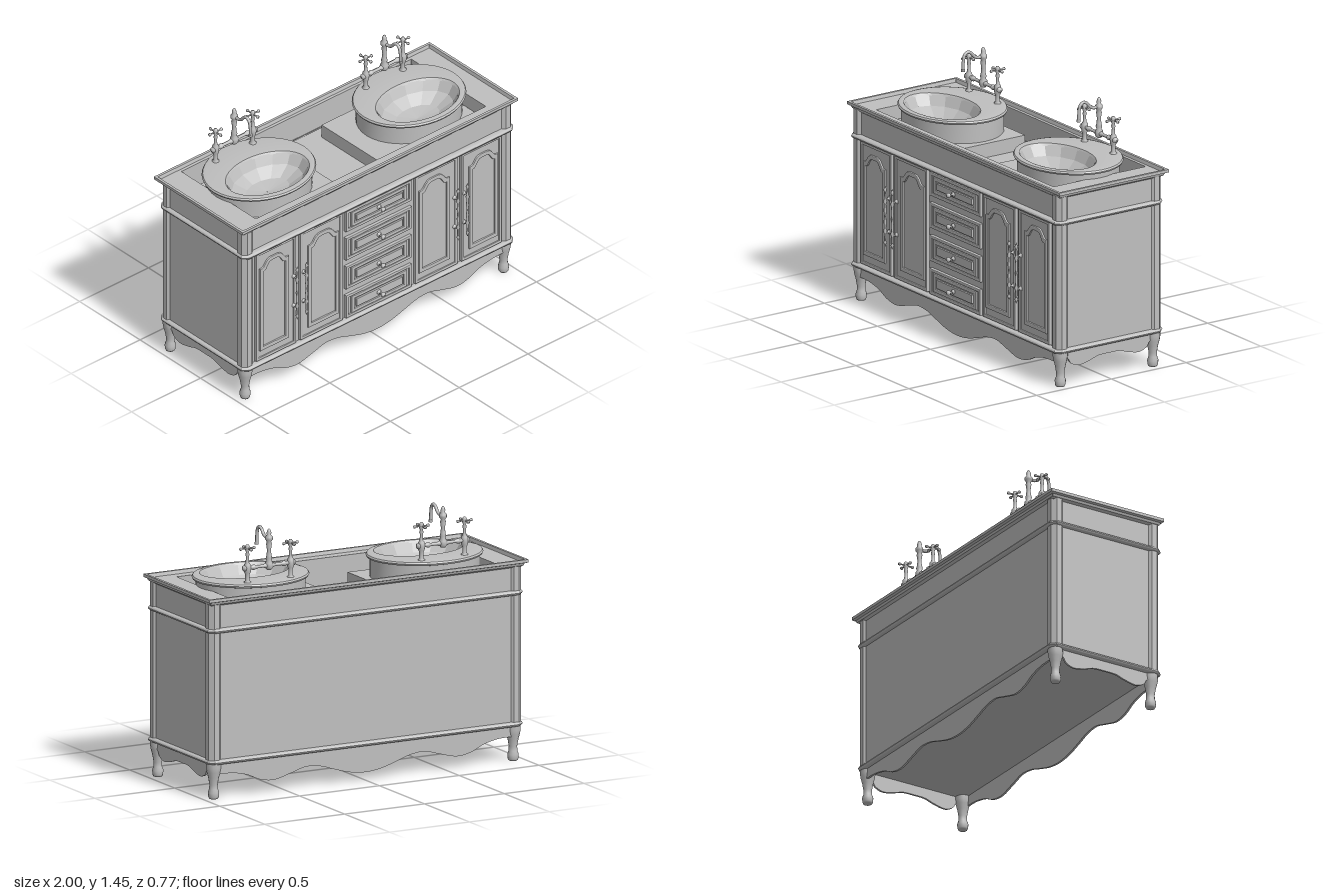
import * as THREE from 'three';
import { toCreasedNormals } from 'three/addons/utils/BufferGeometryUtils.js';

const grey = new THREE.MeshStandardMaterial({ color: 0xbfbfbf });
grey.name = 'plain grey';

function add(parent, name, geo, x = 0, y = 0, z = 0) {
  const mesh = new THREE.Mesh(geo, grey);
  mesh.name = name;
  mesh.position.set(x, y, z);
  parent.add(mesh);
  return mesh;
}

function box(parent, name, x0, x1, y0, y1, z0, z1) {
  return add(parent, name, new THREE.BoxGeometry(x1 - x0, y1 - y0, z1 - z0), (x0 + x1) / 2, (y0 + y1) / 2, (z0 + z1) / 2);
}

// Skin over closed rings of equal point count, running from outside bottom upward
function loft(rings, crease = 0.5) {
  const n = rings[0].length, pos = [], idx = [];
  rings.forEach(r => r.forEach(p => pos.push(...p)));
  for (let i = 0; i < rings.length - 1; i++) {
    for (let j = 0; j < n; j++) {
      const k = (j + 1) % n, a = i * n + j, b = i * n + k;
      idx.push(a, a + n, b, b, a + n, b + n);
    }
  }
  const g = new THREE.BufferGeometry();
  g.setAttribute('position', new THREE.Float32BufferAttribute(pos, 3));
  g.setIndex(idx);
  return toCreasedNormals(g, crease);
}

// Rectangle outline with cut corners, seen from above
function outline(hx, z0, z1, c, y) {
  return [[hx, z1 - c], [hx - c, z1], [-hx + c, z1], [-hx, z1 - c],
    [-hx, z0 + c], [-hx + c, z0], [hx - c, z0], [hx, z0 + c]].map(([x, z]) => [x, y, z]);
}

const oval = (cx, cz, rx, rz, y, n) => Array.from({ length: n }, (_, i) => {
  const a = i / n * Math.PI * 2;
  return [cx + rx * Math.cos(a), y, cz + rz * Math.sin(a)];
});

const lathe = (pts, n = 16) => new THREE.LatheGeometry(pts.map(p => new THREE.Vector2(...p)), n);

// Panel outline, with a raised arch on top when rise > 0
function panelPath(path, x0, x1, y0, y1, rise) {
  const s = y1 - rise, w = x1 - x0, m = (x0 + x1) / 2;
  path.moveTo(x0, y0).lineTo(x1, y0).lineTo(x1, s);
  if (rise) {
    path.lineTo(x1 - w * 0.06, s);
    path.bezierCurveTo(x1 - w * 0.16, s, x1 - w * 0.2, y1, m + w * 0.12, y1);
    path.lineTo(m - w * 0.12, y1);
    path.bezierCurveTo(x0 + w * 0.2, y1, x0 + w * 0.16, s, x0 + w * 0.06, s);
  }
  path.lineTo(x0, s).closePath();
  return path;
}

// Bevelled moulding around a panel
function moulding(x0, x1, y0, y1, rise, t, depth) {
  const shape = panelPath(new THREE.Shape(), x0, x1, y0, y1, rise);
  shape.holes.push(panelPath(new THREE.Path(), x0 + t, x1 - t, y0 + t, y1 - t, rise));
  return new THREE.ExtrudeGeometry(shape, { depth, bevelEnabled: true, bevelThickness: 0.005, bevelSize: 0.004, bevelSegments: 2, curveSegments: 6 });
}

// Scalloped skirt hanging from y = 0.2; points run along the lower edge
function apron(pts) {
  const s = new THREE.Shape();
  s.moveTo(pts[0][0], 0.205).lineTo(...pts[0]);
  s.splineThru(pts.slice(1).map(p => new THREE.Vector2(...p)));
  s.lineTo(pts[pts.length - 1][0], 0.205).closePath();
  return new THREE.ExtrudeGeometry(s, { depth: 0.012, bevelEnabled: false, curveSegments: 48 });
}

function knob(parent, x, y) {
  const k = add(parent, 'knob', lathe([[0.014, 0], [0.014, 0.004], [0.005, 0.008], [0.005, 0.022], [0.013, 0.03], [0.015, 0.037], [0.01, 0.045], [0, 0.047]]), x, y, 0.342);
  k.rotation.x = Math.PI / 2;
}

function doorHandle(parent, x) {
  const half = [[0.005, 0], [0.008, 0.03], [0.006, 0.07], [0.011, 0.085], [0.006, 0.1], [0.005, 0.14], [0.01, 0.15], [0.006, 0.16], [0, 0.175]];
  add(parent, 'handleBar', lathe([...half.slice(1).reverse().map(([r, y]) => [r, -y]), ...half], 10), x, 0.575, 0.365);
  for (const y of [0.48, 0.67]) {
    const post = add(parent, 'handlePost', lathe([[0.014, 0], [0.012, 0.005], [0.005, 0.01], [0.005, 0.03]], 10), x, y, 0.335);
    post.rotation.x = Math.PI / 2;
  }
}

function sink(parent, cx) {
  const outer = [[0.31, 0.265, 1.03], [0.31, 0.265, 1.138], [0.328, 0.28, 1.142], [0.333, 0.285, 1.152], [0.327, 0.279, 1.161], [0.31, 0.262, 1.165]]
    .map(([rx, rz, y]) => oval(cx, -0.035, rx, rz, y, 40));
  outer.push(oval(cx, 0.035, 0.262, 0.18, 1.163, 40), oval(cx, 0.035, 0.252, 0.172, 1.15, 40));
  add(parent, 'basinRim', loft(outer, 0.7));
  // Faceted bowl
  const bowl = [[0.258, 0.177, 1.155], [0.225, 0.15, 1.1], [0.14, 0.09, 1.055], [0.002, 0.002, 1.04]]
    .map(([rx, rz, y]) => oval(cx, 0.035, rx, rz, y, 14));
  add(parent, 'basinBowl', loft(bowl, 0.05));
}

function faucet(parent, cx) {
  const g = new THREE.Group();
  g.name = 'faucet';
  g.position.set(cx, 0, -0.24);
  parent.add(g);
  for (const s of [-1, 1]) {
    add(g, 'valveColumn', lathe([[0.02, 1.155], [0.02, 1.168], [0.012, 1.175], [0.012, 1.21], [0.018, 1.222], [0.02, 1.245], [0.018, 1.265], [0.01, 1.275],
      [0.008, 1.31], [0.012, 1.32], [0.008, 1.335], [0.013, 1.345], [0.013, 1.365], [0.008, 1.375], [0, 1.378]]), s * 0.135);
    for (let i = 0; i < 4; i++) {
      const arm = new THREE.Group();
      arm.name = 'crossHandleArm';
      arm.position.set(s * 0.135, 1.355, 0);
      arm.rotation.set(0, i * Math.PI / 2, -Math.PI / 2);
      add(arm, 'spoke', lathe([[0.005, 0], [0.004, 0.03], [0.009, 0.04], [0.008, 0.047], [0, 0.05]], 8));
      g.add(arm);
    }
    // Half of the bridge pipe
    const pipe = add(g, 'bridgePipe', lathe([[0.014, 0], [0.014, 0.025], [0.009, 0.035], [0.009, 0.08], [0.015, 0.09], [0.015, 0.1], [0.011, 0.105], [0.011, 0.135], [0.016, 0.15], [0.016, 0.16], [0, 0.168]], 12), 0, 1.245);
    pipe.rotation.z = -s * Math.PI / 2;
  }
  add(g, 'spoutColumn', lathe([[0, 1.218], [0.014, 1.222], [0.023, 1.235], [0.023, 1.258], [0.014, 1.27], [0.018, 1.285], [0.014, 1.3], [0.011, 1.33],
    [0.016, 1.365], [0.012, 1.378], [0.021, 1.39], [0.021, 1.405], [0.012, 1.415], [0.013, 1.43], [0.008, 1.445], [0, 1.452]]));
  const curve = new THREE.CatmullRomCurve3([[1.4, 0], [1.397, 0.035], [1.408, 0.06], [1.432, 0.082], [1.441, 0.105], [1.428, 0.124], [1.395, 0.133], [1.34, 0.136]].map(([y, z]) => new THREE.Vector3(0, y, z)));
  add(g, 'spout', new THREE.TubeGeometry(curve, 32, 0.009, 10));
  add(g, 'spoutTip', new THREE.CylinderGeometry(0.011, 0.011, 0.014, 10), 0, 1.342, 0.136);
}

export function createModel() {
  const root = new THREE.Group();
  root.name = 'doubleVanity';

  // Cabinet shell, open at the top
  add(root, 'cabinetWalls', loft([outline(0.965, -0.35, 0.32, 0.02, 0.2), outline(0.965, -0.35, 0.32, 0.02, 1.1)]));
  box(root, 'cabinetBottom', -0.95, 0.95, 0.195, 0.21, -0.34, 0.31);
  box(root, 'innerFloor', -0.95, 0.95, 0.935, 0.95, -0.345, 0.315);
  box(root, 'leftSinkBase', 0.12, 0.83, 0.95, 1.03, -0.275, 0.21);
  box(root, 'rightSinkBase', -0.84, -0.2, 0.95, 1.03, -0.275, 0.21);

  // Counter rim with its lip and opening
  add(root, 'counterRim', loft([[0.965, -0.35, 0.32, 1.085], [0.98, -0.365, 0.33, 1.095], [0.985, -0.37, 0.335, 1.108], [1, -0.385, 0.348, 1.113], [1, -0.385, 0.348, 1.13],
    [0.985, -0.37, 0.333, 1.13], [0.98, -0.365, 0.328, 1.11], [0.835, -0.347, 0.27, 1.11], [0.835, -0.347, 0.27, 0.95]]
    .map(([hx, z0, z1, y]) => outline(hx, z0, z1, 0.001, y)), 0.3));

  // Rounded bands around the cabinet
  for (const y of [0.944, 0.208]) {
    add(root, 'band', loft([[-0.02, -0.014], [0, -0.013], [0.008, -0.009], [0.012, 0], [0.008, 0.009], [0, 0.013], [-0.02, 0.014]]
      .map(([o, dy]) => outline(0.975 + o, -0.36 - o, 0.34 + o, 0.03, y + dy)), 0.7));
  }

  // Corner posts and turned legs
  for (const x of [-0.938, 0.938]) {
    for (const z of [0.298, -0.321]) {
      for (const [y0, y1] of [[0.2, 0.94], [0.94, 1.1]]) {
        const geo = new THREE.CylinderGeometry(0.043, 0.043, y1 - y0, 8);
        geo.rotateY(Math.PI / 8);
        add(root, 'cornerPost', toCreasedNormals(geo, 0.3), x, (y0 + y1) / 2, z);
      }
      add(root, 'leg', lathe([[0, 0], [0.024, 0], [0.029, 0.01], [0.031, 0.035], [0.024, 0.055], [0.023, 0.08], [0.03, 0.12], [0.038, 0.15], [0.042, 0.175], [0.042, 0.205]], 12), x, 0, z);
    }
  }

  // Scalloped skirts
  const half = [[0, 0.045], [0.1, 0.056], [0.2, 0.085], [0.28, 0.11], [0.37, 0.118], [0.46, 0.095], [0.57, 0.068], [0.66, 0.08], [0.74, 0.115], [0.83, 0.135], [0.92, 0.138]];
  const mirror = h => [...h.slice(1).reverse().map(([x, y]) => [-x, y]), ...h];
  add(root, 'frontSkirt', apron(mirror(half)), 0, 0, 0.31);
  add(root, 'backSkirt', apron(mirror(half)), 0, 0, -0.345);
  const side = mirror([[0, 0.138], [0.07, 0.136], [0.13, 0.118], [0.2, 0.105], [0.25, 0.122], [0.27, 0.15], [0.295, 0.17]]);
  for (const x of [-0.96, 0.948]) {
    const m = add(root, 'sideSkirt', apron(side), x, 0, -0.012);
    m.rotation.y = Math.PI / 2;
  }

  // Doors, mirrored to each side
  for (const [a, b, handle] of [[0.265, 0.57, 0.55], [0.6, 0.89, 0.618]]) {
    for (const s of [-1, 1]) {
      const x0 = s > 0 ? a : -b, x1 = s > 0 ? b : -a;
      const outer = a < 0.5 ? (s > 0 ? [0.03, 0.06] : [0.06, 0.03]) : (s > 0 ? [0.06, 0.03] : [0.03, 0.06]);
      const p0 = x0 + outer[0], p1 = x1 - outer[1];
      const door = new THREE.Group();
      door.name = 'door';
      root.add(door);
      box(door, 'doorSlab', x0, x1, 0.228, 0.932, 0.315, 0.331);
      add(door, 'doorEdge', moulding(x0 + 0.004, x1 - 0.004, 0.232, 0.928, 0, 0.01, 0.004), 0, 0, 0.33);
      add(door, 'archMoulding', moulding(p0, p1, 0.29, 0.87, 0.05, 0.016, 0.006), 0, 0, 0.33);
      doorHandle(door, s * handle);
    }
  }

  // Drawers
  for (const [y0, y1] of [[0.79, 0.925], [0.605, 0.75], [0.415, 0.563], [0.225, 0.373]]) {
    const drawer = new THREE.Group();
    drawer.name = 'drawer';
    root.add(drawer);
    box(drawer, 'drawerSlab', -0.238, 0.238, y0, y1, 0.315, 0.331);
    add(drawer, 'drawerEdge', moulding(-0.234, 0.234, y0 + 0.004, y1 - 0.004, 0, 0.01, 0.004), 0, 0, 0.33);
    add(drawer, 'drawerMoulding', moulding(-0.196, 0.196, y0 + 0.025, y1 - 0.025, 0, 0.012, 0.006), 0, 0, 0.33);
    box(drawer, 'drawerPanel', -0.165, 0.165, y0 + 0.05, y1 - 0.05, 0.33, 0.342);
    knob(drawer, -0.005, (y0 + y1) / 2);
  }

  // Basins and faucets
  for (const x of [-0.545, 0.545]) {
    sink(root, x);
    faucet(root, x);
  }
  return root;
}
